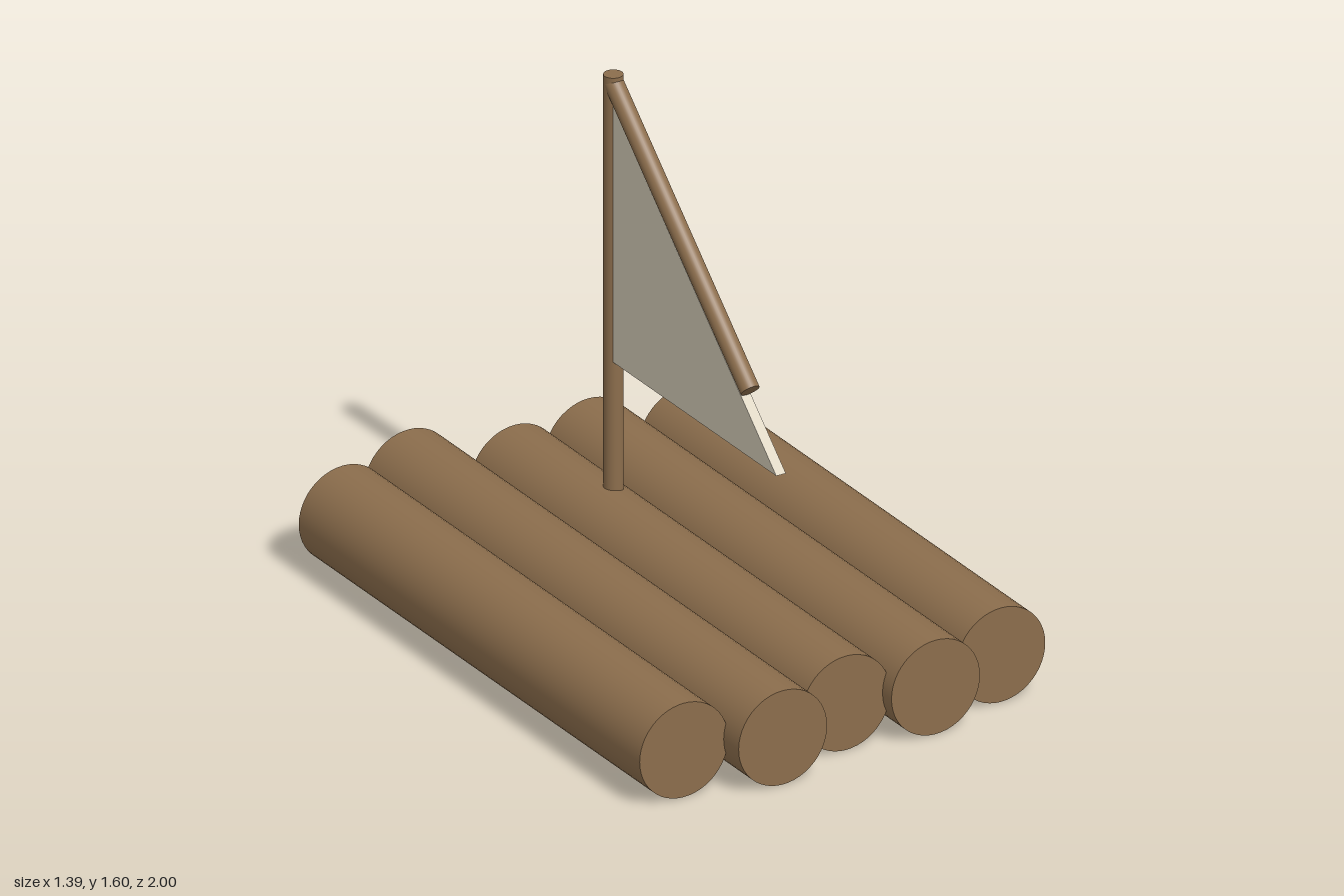
import * as THREE from 'three';

export function createModel() {
  const raft = new THREE.Group();
  raft.name = 'raft';

  const wood = new THREE.MeshStandardMaterial({ color: 0x8b6d4c });
  wood.name = 'wood';
  const canvas = new THREE.MeshStandardMaterial({ color: 0xd4cbb7 });
  canvas.name = 'canvas';

  // Round pole running between two points
  function pole(name, from, to, radius, sides) {
    const a = new THREE.Vector3(...from);
    const b = new THREE.Vector3(...to);
    const length = a.distanceTo(b);
    const mesh = new THREE.Mesh(new THREE.CylinderGeometry(radius, radius, length, sides), wood);
    mesh.name = name;
    mesh.position.copy(a).lerp(b, 0.5);
    mesh.quaternion.setFromUnitVectors(new THREE.Vector3(0, 1, 0), b.sub(a).normalize());
    raft.add(mesh);
  }

  // Deck logs: x, back z, front z
  const r = 0.148;
  const logs = [
    [-0.547, -0.9, 0.92],
    [-0.266, -1, 1],
    [0.005, -0.865, 0.905],
    [0.275, -0.9, 0.953],
    [0.543, -0.823, 0.874],
  ];
  logs.forEach(([x, back, front], i) => pole('log' + (i + 1), [x, r, back], [x, r, front], r, 48));

  // Mast and the slanted spar hung from its top
  const mastX = 0.032, mastZ = -0.38;
  pole('mast', [mastX, 0.25, mastZ], [mastX, 1.595, mastZ], 0.029, 32);
  pole('spar', [mastX, 1.57, mastZ], [mastX, 0.897, 0.35], 0.029, 32);

  // Triangular sail, drawn in the (-z, y) plane and turned to run fore and aft
  const outline = new THREE.Shape([
    new THREE.Vector2(-0.515, 0.7),
    new THREE.Vector2(0.37, 0.7),
    new THREE.Vector2(0.37, 1.52),
  ]);
  const depth = 0.032;
  const sailGeometry = new THREE.ExtrudeGeometry(outline, { depth, bevelEnabled: false });
  sailGeometry.translate(0, 0, -depth / 2).rotateY(Math.PI / 2);
  const sail = new THREE.Mesh(sailGeometry, canvas);
  sail.name = 'sail';
  sail.position.x = mastX;
  raft.add(sail);

  return raft;
}
